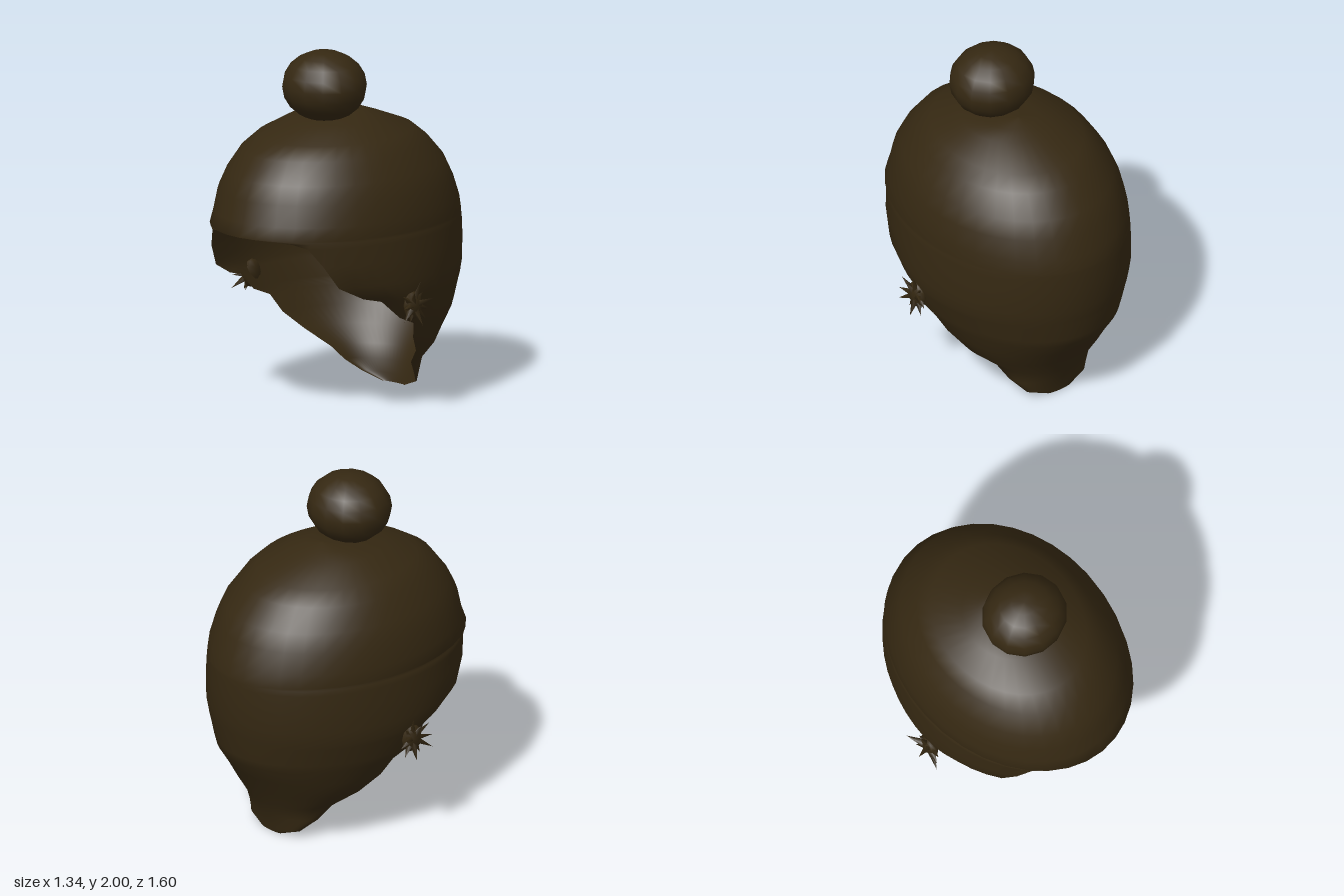
import * as THREE from 'three';
import { mergeVertices } from 'three/addons/utils/BufferGeometryUtils.js';

// Horizontal sections of the hair shell:
// height, half width, z of widest point, front z, back z, half angle of the face opening
const SECTIONS = [
  [1.655, 0.01, -0.1, -0.09, -0.11, 0],
  [1.64, 0.14, -0.05, 0.06, -0.18, 0],
  [1.61, 0.25, 0, 0.29, -0.27, 0],
  [1.53, 0.39, 0, 0.49, -0.48, 0],
  [1.46, 0.46, 0, 0.6, -0.57, 0],
  [1.34, 0.535, 0, 0.69, -0.68, 0],
  [1.24, 0.575, 0, 0.74, -0.73, 0],
  [1.12, 0.6, 0, 0.765, -0.775, 0],
  [1.045, 0.605, 0, 0.8, -0.79, 0],
  [1.03, 0.607, 0, 0.79, -0.79, 0.52],
  [1.0, 0.61, 0, 0.77, -0.793, 0.63],
  [0.9, 0.617, 0, 0.77, -0.795, 0.75],
  [0.77, 0.62, 0, 0.72, -0.79, 0.84],
  [0.69, 0.61, 0, 0.56, -0.775, 0.96],
  [0.66, 0.6, 0, 0.43, -0.77, 1.08],
  [0.55, 0.57, 0, 0.28, -0.75, 1.3],
  [0.5, 0.54, -0.06, 0.1, -0.735, 1.5],
  [0.4, 0.49, -0.1, 0.05, -0.67, 1.57],
  [0.3, 0.42, -0.2, -0.1, -0.61, 1.57],
  [0.2, 0.3, -0.29, -0.2, -0.555, 1.57],
  [0.12, 0.26, -0.36, -0.3, -0.52, 1.57],
  [0.05, 0.2, -0.44, -0.4, -0.5, 1.57],
  [0.005, 0.08, -0.475, -0.45, -0.49, 1.57],
];

// Lofts the sections into one shell that opens at the face
function shellGeometry(columns) {
  const positions = [], index = [];
  for (const [y, w, mid, front, back, open] of SECTIONS) {
    for (let i = 0; i <= columns; i++) {
      const a = open + (i / columns) * (2 * Math.PI - 2 * open);
      const c = Math.cos(a);
      const x = i === columns && open === 0 ? 0 : w * Math.sin(a);
      positions.push(x, y, mid + c * (c > 0 ? front - mid : mid - back));
    }
  }
  const stride = columns + 1;
  for (let r = 0; r < SECTIONS.length - 1; r++) {
    for (let i = 0; i < columns; i++) {
      const a = r * stride + i, b = a + stride;
      index.push(a, b, a + 1, b, b + 1, a + 1);
    }
  }
  // Close the crown
  for (let i = 1; i < columns - 1; i++) index.push(0, i, i + 1);
  const geometry = new THREE.BufferGeometry();
  geometry.setAttribute('position', new THREE.Float32BufferAttribute(positions, 3));
  geometry.setIndex(index);
  const merged = mergeVertices(geometry, 1e-4);
  merged.computeVertexNormals();
  return merged;
}

// Ragged knot of short locks over one ear
function earTuft(side, material) {
  const tuft = new THREE.Group();
  tuft.name = side > 0 ? 'leftEarTuft' : 'rightEarTuft';
  const core = new THREE.Mesh(new THREE.SphereGeometry(1, 8, 6), material);
  core.name = 'tuftCore';
  core.scale.set(0.035, 0.08, 0.07);
  tuft.add(core);
  const up = new THREE.Vector3(0, 1, 0);
  const count = 11;
  for (let i = 0; i < count; i++) {
    const a = (i / count) * Math.PI * 2;
    const reach = 0.09 + 0.025 * Math.sin(i * 2.7);
    const dir = new THREE.Vector3(side * (0.35 + 0.2 * Math.sin(i * 4.1)), Math.sin(a), Math.cos(a)).normalize();
    const lock = new THREE.Mesh(new THREE.ConeGeometry(0.022, reach, 4), material);
    lock.name = 'tuftLock';
    lock.quaternion.setFromUnitVectors(up, dir);
    lock.position.copy(dir).multiplyScalar(0.03 + reach / 2);
    tuft.add(lock);
  }
  tuft.position.set(side * 0.605, 0.625, 0.03);
  return tuft;
}

export function createModel() {
  const model = new THREE.Group();
  model.name = 'hairWithBun';
  const hair = new THREE.MeshStandardMaterial({ color: 0x352812, side: THREE.DoubleSide });
  hair.name = 'darkBrownHair';

  const shell = new THREE.Mesh(shellGeometry(36), hair);
  shell.name = 'hairShell';
  model.add(shell);

  // Round bun on the crown
  const bun = new THREE.Mesh(new THREE.SphereGeometry(1, 14, 10), hair);
  bun.name = 'bun';
  bun.scale.set(0.245, 0.2, 0.232);
  bun.position.set(0.02, 1.8, 0.115);
  model.add(bun);

  for (const side of [1, -1]) model.add(earTuft(side, hair));
  return model;
}
